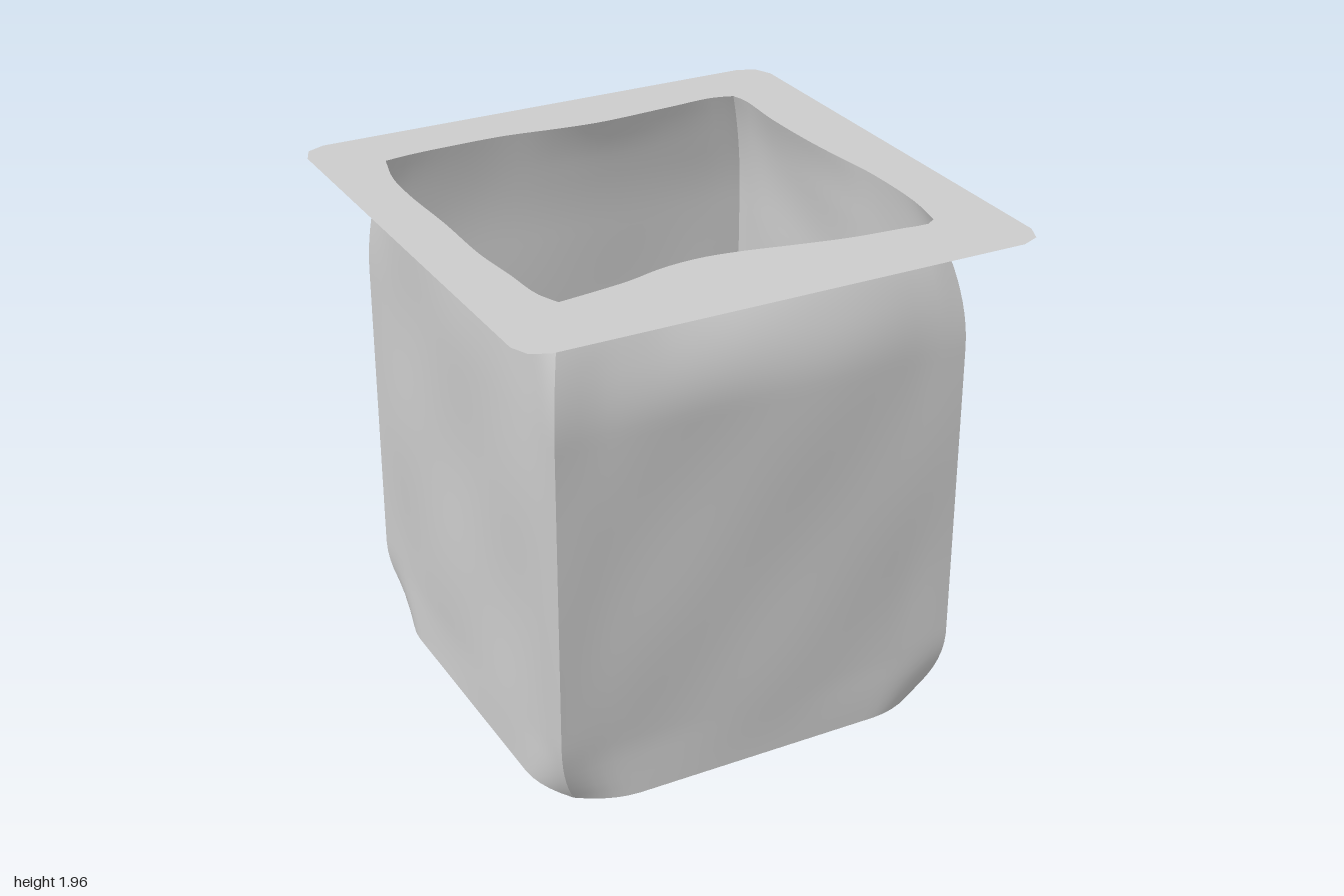
import * as THREE from 'three';

const HALF = 0.815, HEIGHT = 1.96, COLS = 32, ROWS = 48;

// Uneven mouth of the container as [x, z], one run per wall
const MOUTH = {
  front: [[-0.72, 0.67], [-0.6, 0.655], [-0.44, 0.63], [-0.3, 0.592], [-0.15, 0.577], [0, 0.592],
    [0.2, 0.633], [0.4, 0.67], [0.6, 0.687], [0.71, 0.695], [0.745, 0.67]],
  left: [[0.745, 0.67], [0.775, 0.5], [0.78, 0.2], [0.76, 0], [0.745, -0.2], [0.74, -0.45],
    [0.75, -0.68], [0.735, -0.74]],
  back: [[0.735, -0.74], [0.65, -0.763], [0.45, -0.75], [0.13, -0.73], [-0.05, -0.745],
    [-0.25, -0.77], [-0.45, -0.77], [-0.65, -0.76], [-0.75, -0.745]],
  right: [[-0.75, -0.745], [-0.79, -0.58], [-0.8, -0.4], [-0.79, -0.1], [-0.79, 0.2], [-0.77, 0.4],
    [-0.755, 0.58], [-0.72, 0.67]],
};

const material = new THREE.MeshStandardMaterial({ color: 0xcccccc, side: THREE.DoubleSide });

function named(name, geometry) {
  const mesh = new THREE.Mesh(geometry, material);
  mesh.name = name;
  return mesh;
}

// Straight edge of the square body for wall k, at distance u along it; pull draws its ends inward
function edgePoint(k, u, pull, inset = 0) {
  const a = (k * Math.PI) / 2;
  const t = 2 * u - 1;
  const end = Math.max(0, (Math.abs(t) - 0.68) / 0.32);
  const along = HALF * t * (1 - pull / HALF);
  const out = HALF - pull * end * end - inset;
  return new THREE.Vector2(along * Math.cos(a) + out * Math.sin(a), out * Math.cos(a) - along * Math.sin(a));
}

// One soft wall: rounded foot, full middle, gathered into the mouth
function wallGeometry(k, mouth) {
  const geometry = new THREE.PlaneGeometry(1, 1, COLS, ROWS);
  const pos = geometry.attributes.position;
  const p = new THREE.Vector2();
  for (let i = 0; i < pos.count; i++) {
    const u = pos.getX(i) + 0.5;
    const v = pos.getY(i) + 0.5;
    const y = v * HEIGHT;
    const foot = Math.max(0, 1 - y / 0.3) ** 2;
    const neck = Math.max(0, (y - 1.5) / (HEIGHT - 1.5)) ** 2;
    const fade = Math.min(1, 3 * Math.sin(Math.PI * u)) * Math.min(1, 3 * Math.sin(Math.PI * v));
    const ripple = 0.005 * fade *
      (1.5 + Math.sin(7 * u + 9 * v + 2 * k) + 0.5 * Math.sin(13 * u - 14 * v + k));
    p.copy(edgePoint(k, u, 0.085 * foot, ripple)).lerp(mouth[Math.round(u * COLS)], neck);
    pos.setXYZ(i, p.x, y, p.y);
  }
  geometry.computeVertexNormals();
  return geometry;
}

// Flat horizontal sheet from [x, z] points
function sheetGeometry(outline, hole) {
  const flip = (p) => new THREE.Vector2(p.x, -p.y);
  const shape = new THREE.Shape(outline.map(flip));
  if (hole) shape.holes.push(new THREE.Path(hole.map(flip)));
  return new THREE.ShapeGeometry(shape).rotateX(-Math.PI / 2);
}

export function createModel() {
  const model = new THREE.Group();
  model.name = 'flangedContainer';
  const mouthRing = [], footRing = [], rimRing = [];

  Object.entries(MOUTH).forEach(([side, points], k) => {
    const curve = new THREE.CatmullRomCurve3(points.map(([x, z]) => new THREE.Vector3(x, 0, z)));
    const mouth = curve.getSpacedPoints(COLS).map((p) => new THREE.Vector2(p.x, p.z));
    model.add(named(side + 'Wall', wallGeometry(k, mouth)));
    for (let c = 0; c < COLS; c++) {
      mouthRing.push(mouth[c]);
      footRing.push(edgePoint(k, c / COLS, 0.085));
    }
    // Clipped corner of the square rim
    for (const [x, z] of [[-1, 0.9], [-0.97, 0.97], [-0.9, 1]]) {
      rimRing.push(new THREE.Vector2(x, z).rotateAround(new THREE.Vector2(), (-k * Math.PI) / 2));
    }
  });

  model.add(named('floor', sheetGeometry(footRing)));
  const rim = named('rim', sheetGeometry(rimRing, mouthRing));
  rim.position.y = HEIGHT;
  model.add(rim);
  return model;
}
